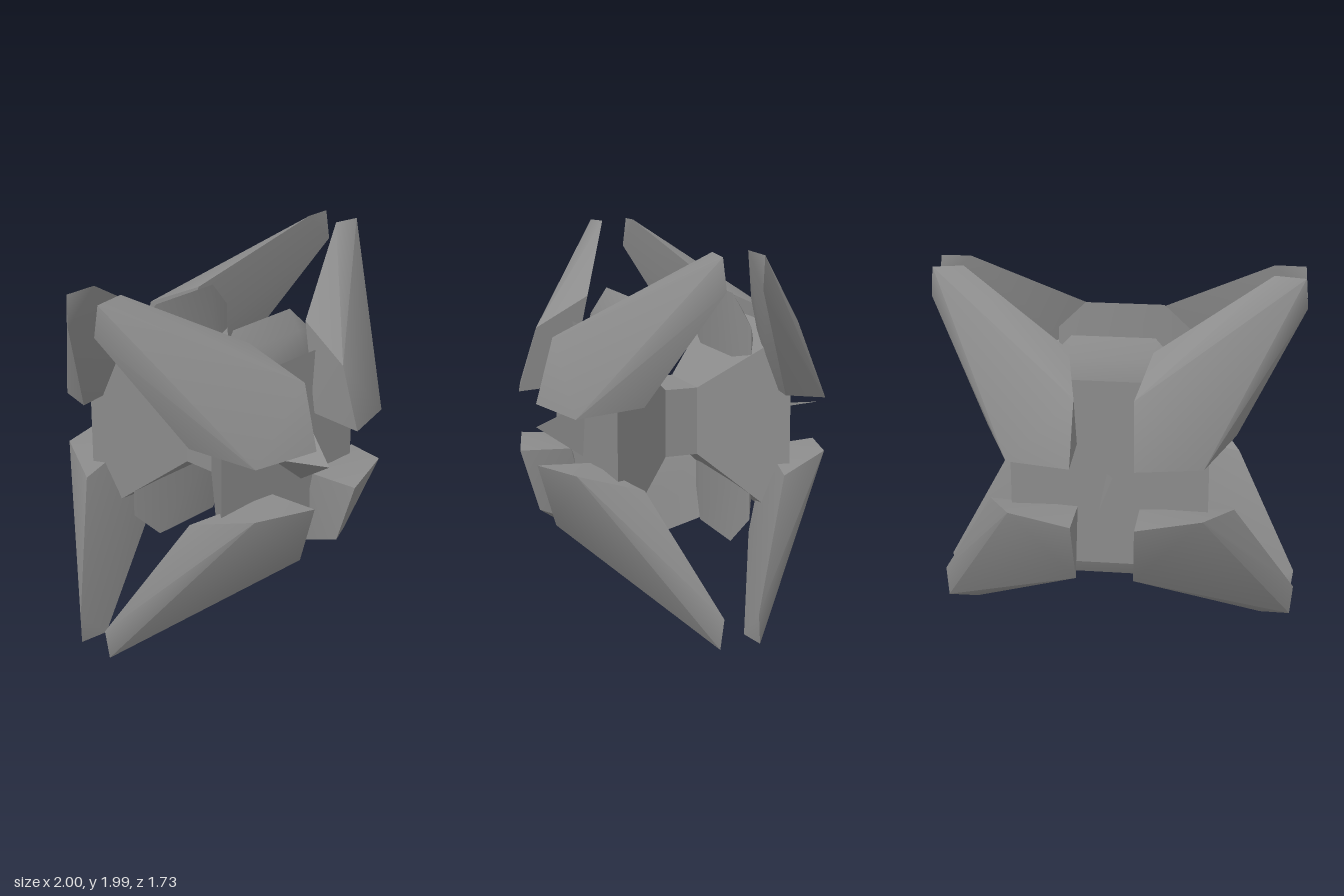
import * as THREE from 'three';
import { ConvexGeometry } from 'three/addons/geometries/ConvexGeometry.js';
import { toCreasedNormals } from 'three/addons/utils/BufferGeometryUtils.js';

const MID_Y = 1.003, MID_Z = 0.065;
const material = new THREE.MeshStandardMaterial({ color: 0x8c8c8c });

export function createModel() {
  const model = new THREE.Group();
  // Everything is laid out around the middle of the core
  const body = new THREE.Group();
  body.name = 'body';
  body.position.set(0, MID_Y, MID_Z);
  model.add(body);

  const add = (name, geometry) => {
    const mesh = new THREE.Mesh(geometry, material);
    mesh.name = name;
    body.add(mesh);
    return mesh;
  };

  // Convex solid from corner points, mirrored by signs
  const hull = (points, sx, sy, sz, crease) => toCreasedNormals(
    new ConvexGeometry(points.map(([x, y, z]) => new THREE.Vector3(x * sx, y * sy, z * sz))), crease);

  // Square neck joining the two halves of the core
  add('neck', new THREE.BoxGeometry(0.37, 0.37, 0.2));

  // Flared block: small square at the neck, large square outside
  const flare = [];
  for (const x of [-1, 1]) for (const y of [-1, 1]) {
    flare.push([x * 0.185, y * 0.185, 0.092], [x * 0.525, y * 0.525, 0.485]);
  }

  // Chamfered ridge: tall flat inner face, rounding down outward into the flare
  const ridge = [];
  for (const x of [-1, 1]) {
    ridge.push(
      [x * 0.22, 0.3, 0.28], [x * 0.22, 0.695, 0.28],
      [x * 0.38, 0.3, 0.32], [x * 0.38, 0.53, 0.32],
      [x * 0.22, 0.59, 0.345],
      [x * 0.25, 0.44, 0.39], [x * 0.25, 0.3, 0.39]);
  }

  // Armour shard, mirrored into all eight corners
  const shard = [
    [0.82, 0.997, 0.095], [0.985, 0.99, 0.11], [1.0, 0.825, 0.095], // tip
    [0.152, 0.508, 0.705], [0.508, 0.147, 0.7], // outer shoulders
    [0.165, 0.165, 0.805], // peak
    [0.66, 0.215, 0.39], [0.22, 0.655, 0.39], // inner shoulders
    [0.165, 0.18, 0.515], // inner corner
  ];

  for (const sz of [1, -1]) {
    const end = sz > 0 ? 'front' : 'back';
    add(`${end}CoreBlock`, hull(flare, 1, 1, sz, 0.3));
    for (const sy of [1, -1]) {
      const level = sy > 0 ? 'Upper' : 'Lower';
      add(`${end}${level}Ridge`, hull(ridge, 1, sy, sz, 0.7));
      for (const sx of [1, -1]) {
        add(`${end}${level}${sx > 0 ? 'Left' : 'Right'}Shard`, hull(shard, sx, sy, sz, 1.0));
      }
    }
  }

  // Three-sided spikes floating off the front and back
  const spike = (name, radius, length, turn, baseZ, direction) => {
    const cone = new THREE.ConeGeometry(radius, length, 3, 1, false, turn).toNonIndexed();
    cone.computeVertexNormals();
    cone.rotateX(direction * Math.PI / 2);
    add(name, cone).position.set(0, 0, baseZ + direction * length / 2 - MID_Z);
  };
  spike('frontSpike', 0.18, 0.24, 4.54, 0.585, 1);
  spike('backSpike', 0.022, 0.4, 4.54, -0.455, -1);

  return model;
}
